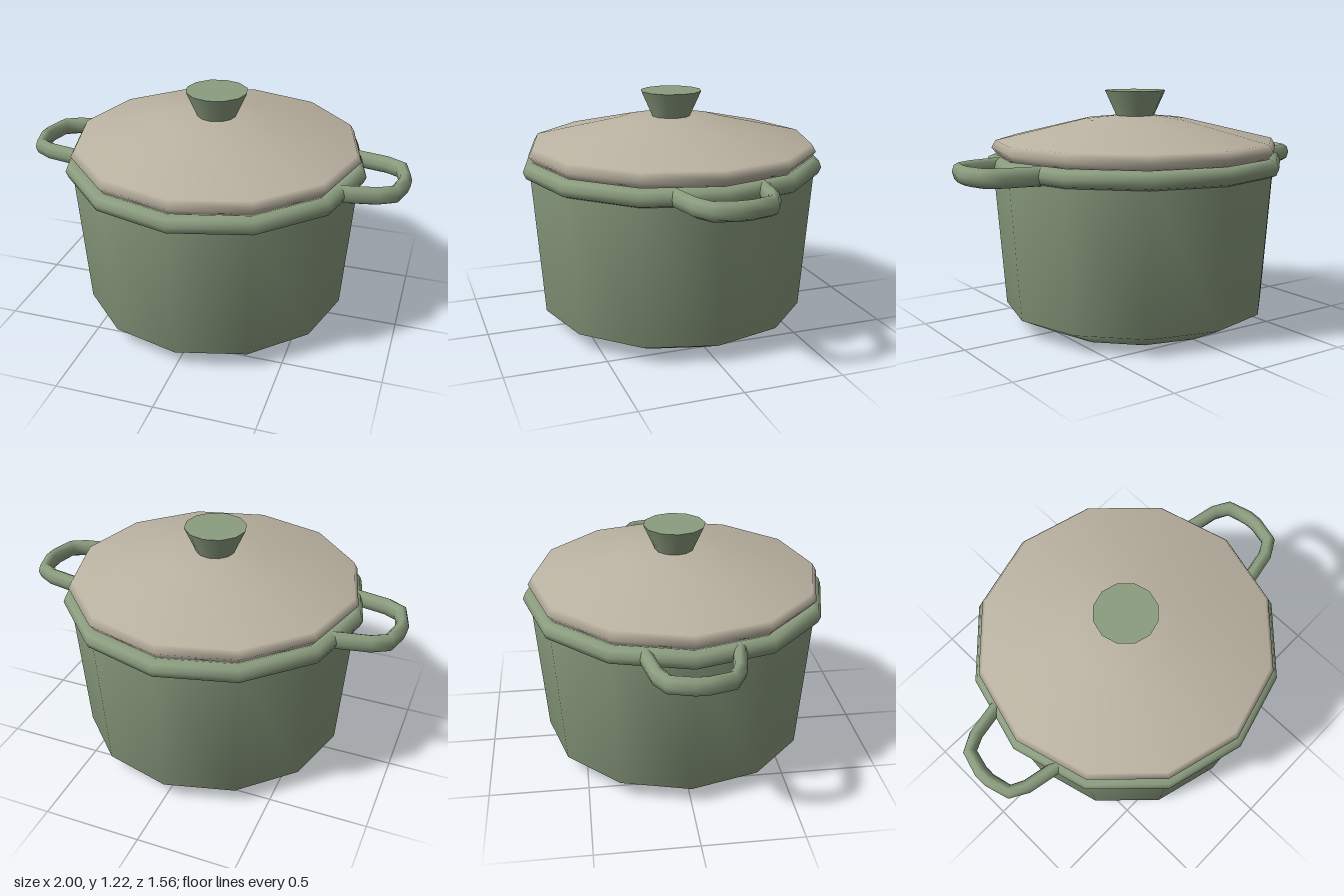
import * as THREE from 'three';

const SIDES = 12;

export function createModel() {
  const pot = new THREE.Group();
  pot.name = 'cookingPot';
  const green = new THREE.MeshStandardMaterial({ color: 0x8b9d7f });
  green.name = 'sage green';
  const beige = new THREE.MeshStandardMaterial({ color: 0xbab2a1 });
  beige.name = 'warm beige';

  const add = (name, geometry, material, y = 0) => {
    const mesh = new THREE.Mesh(geometry, material);
    mesh.name = name;
    mesh.position.y = y;
    pot.add(mesh);
    return mesh;
  };
  const lathe = (profile) =>
    new THREE.LatheGeometry(profile.map(([r, y]) => new THREE.Vector2(r, y)), SIDES);

  // Tapered body with a bevelled base
  add('body', lathe([[0, 0], [0.505, 0], [0.69, 0.09], [0.745, 0.84]]), green);

  // Rolled rim
  add('rim', new THREE.TorusGeometry(0.733, 0.047, 8, SIDES).rotateX(Math.PI / 2), green, 0.843);

  // Domed lid
  add('lid', lathe([
    [0, 0.885], [0.72, 0.885], [0.75, 0.922], [0.728, 0.96],
    [0.27, 1.068], [0.1, 1.085], [0, 1.087],
  ]), beige);

  // Flared knob
  add('knob', new THREE.CylinderGeometry(0.158, 0.097, 0.135, SIDES), green, 1.1475);

  // Loop handles, mirrored by a half turn
  const half = [[0.68, 0.217], [0.86, 0.182], [0.937, 0.14], [0.966, 0.03]];
  const path = [...half, ...half.map(([x, z]) => [x, -z]).reverse()];
  const curve = new THREE.CatmullRomCurve3(path.map(([x, z]) => new THREE.Vector3(x, 0, z)));
  // Put the tube rings exactly on the path points
  curve.getPointAt = curve.getPoint;
  curve.getTangentAt = curve.getTangent;
  const loop = new THREE.TubeGeometry(curve, path.length - 1, 0.034, 8).scale(1, 1.38, 1);
  add('leftHandle', loop, green, 0.843);
  add('rightHandle', loop, green, 0.843).rotation.y = Math.PI;

  return pot;
}
